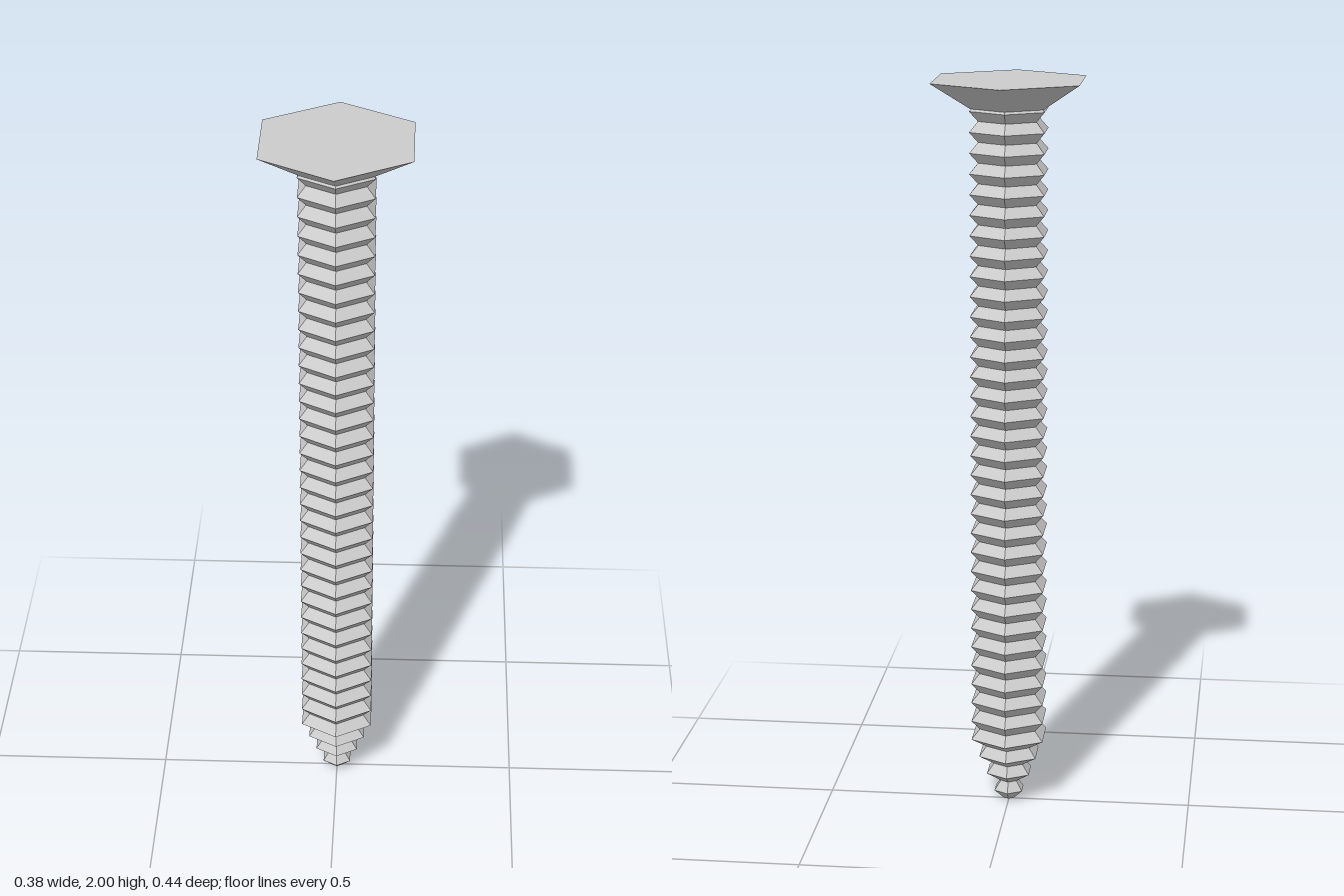
import * as THREE from 'three';

const SIDES = 6;
const material = new THREE.MeshStandardMaterial({ color: 0xcccccc, flatShading: true });

// Six-sided solid of revolution with corners on the z axis
function hexLathe(name, profile) {
  const points = profile.map(([r, y]) => new THREE.Vector2(r, y));
  const mesh = new THREE.Mesh(new THREE.LatheGeometry(points, SIDES), material);
  mesh.name = name;
  return mesh;
}

export function createModel() {
  const group = new THREE.Group();
  group.name = 'screw';

  // Threaded shank: crest and root radii grow over the tip, then stay constant
  const ridges = 36, pitch = 0.0541, firstCrest = 0.03;
  const tipCrests = [0.044, 0.067, 0.09], tipRoots = [0.025, 0.046, 0.068];
  const profile = [[0, 0], [0.016, 0.004]];
  for (let i = 0; i < ridges; i++) {
    const y = firstCrest + i * pitch;
    profile.push([tipCrests[i] ?? 0.113, y]);
    if (i < ridges - 1) profile.push([tipRoots[i] ?? 0.088, y + pitch / 2]);
  }
  profile.push([0.1, 1.94], [0, 1.94]);
  group.add(hexLathe('threadedShank', profile));

  // Countersunk hexagonal head with a flat top
  group.add(hexLathe('head', [[0, 1.93], [0.11, 1.93], [0.222, 2], [0, 2]]));

  return group;
}
